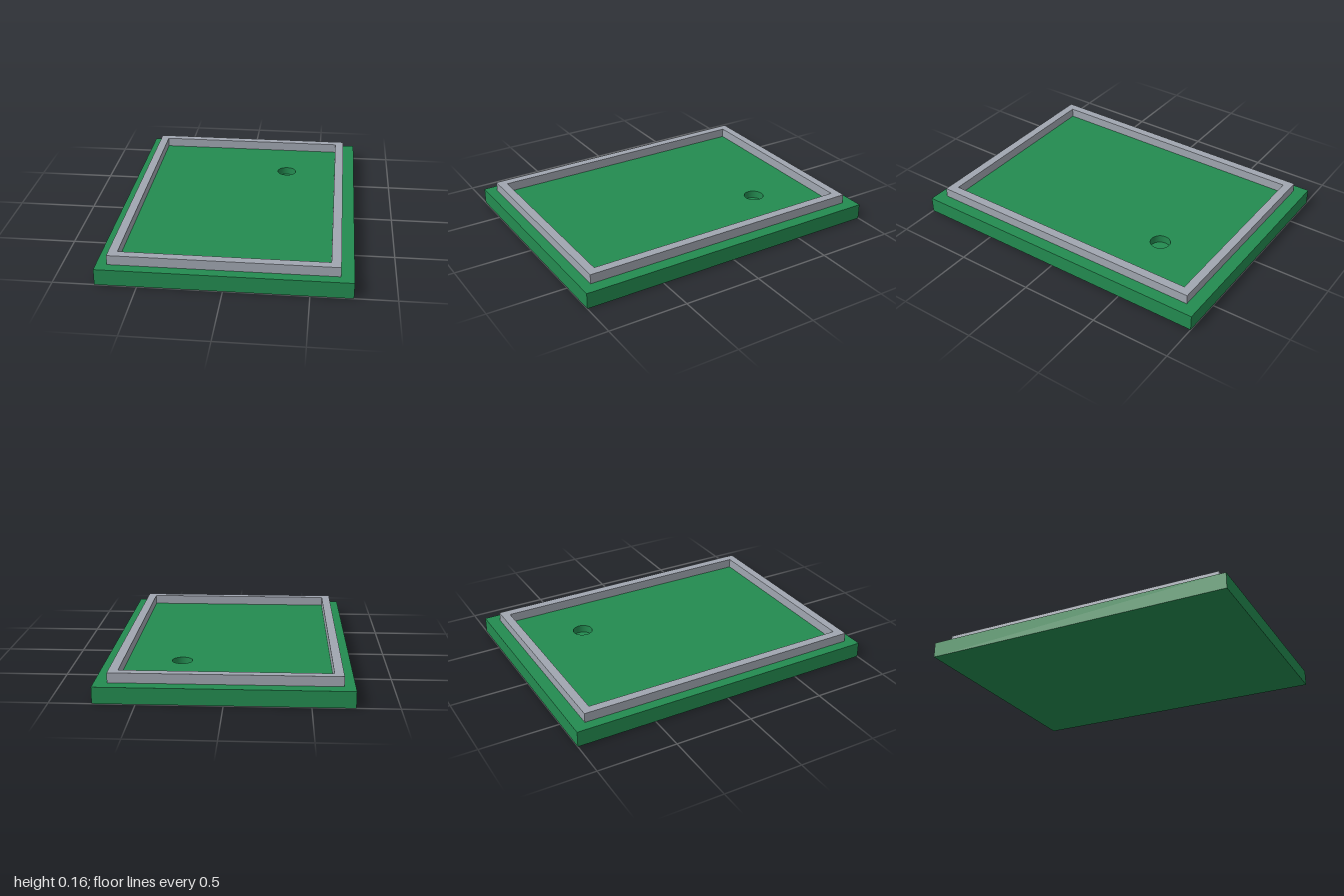
import * as THREE from 'three';

const green = new THREE.MeshStandardMaterial({ color: 0x238b50 });
const greenInside = new THREE.MeshStandardMaterial({ color: 0x238b50, side: THREE.DoubleSide });
const grey = new THREE.MeshStandardMaterial({ color: 0xa0a6b0 });

const WIDTH = 1.5, LENGTH = 2, THICK = 0.1;
const cup = { x: 0.28, z: -0.49, radius: 0.063, depth: 0.05 };

// Rectangle in plan; the shape's y axis becomes -z once laid flat
function rect(Type, x0, x1, z0, z1) {
  return new Type([[x0, -z1], [x1, -z1], [x1, -z0], [x0, -z0]].map(([x, y]) => new THREE.Vector2(x, y)));
}

function add(group, name, geometry, material, x = 0, y = 0, z = 0) {
  const mesh = new THREE.Mesh(geometry, material);
  mesh.name = name;
  mesh.position.set(x, y, z);
  group.add(mesh);
}

export function createModel() {
  const model = new THREE.Group();
  model.name = 'puttingBoard';

  // Base slab: box without its top face
  const slab = new THREE.BoxGeometry(WIDTH, THICK, LENGTH);
  const index = Array.from(slab.index.array);
  index.splice(12, 6);
  slab.setIndex(index);
  slab.clearGroups();
  add(model, 'baseSlab', slab, green, 0, THICK / 2, 0);

  // Playing surface with the round opening
  const surface = rect(THREE.Shape, -WIDTH / 2, WIDTH / 2, -LENGTH / 2, LENGTH / 2);
  surface.holes.push(new THREE.Path().absarc(cup.x, -cup.z, cup.radius, 0, Math.PI * 2, true));
  add(model, 'playingSurface', new THREE.ShapeGeometry(surface, 16).rotateX(-Math.PI / 2), green, 0, THICK, 0);

  // Sunken cup: wall and floor
  const wall = new THREE.CylinderGeometry(cup.radius, cup.radius, cup.depth, 32, 1, true);
  add(model, 'cupWall', wall, greenInside, cup.x, THICK - cup.depth / 2, cup.z);
  const floor = new THREE.CircleGeometry(cup.radius, 32).rotateX(-Math.PI / 2);
  add(model, 'cupFloor', floor, green, cup.x, THICK - cup.depth, cup.z);

  // Raised border around the playing surface
  const border = rect(THREE.Shape, -0.685, 0.672, -0.922, 0.935);
  border.holes.push(rect(THREE.Path, -0.63, 0.615, -0.868, 0.88));
  const borderGeometry = new THREE.ExtrudeGeometry(border, { depth: 0.06, bevelEnabled: false });
  add(model, 'border', borderGeometry.rotateX(-Math.PI / 2), grey, 0, THICK, 0);

  return model;
}
